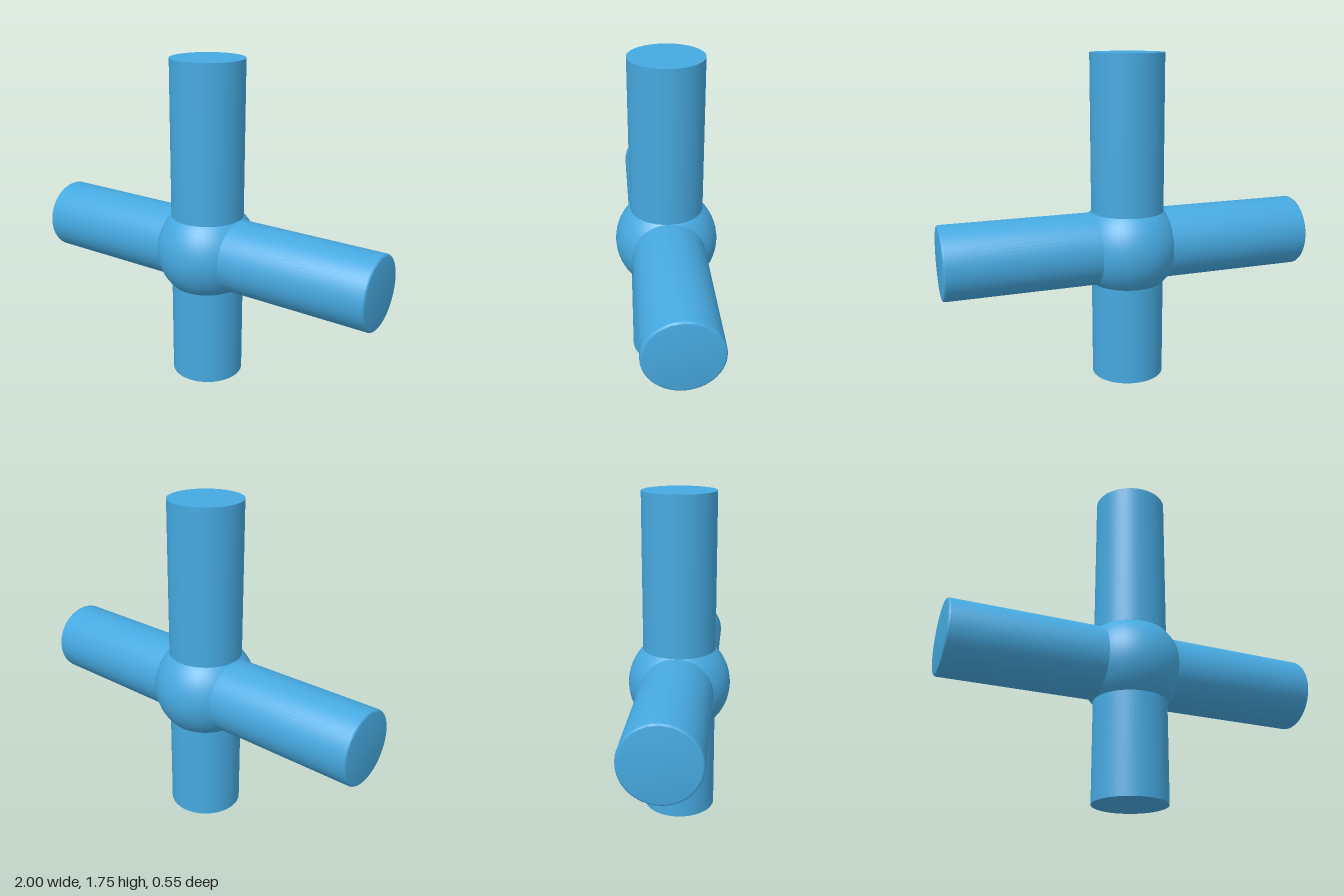
import * as THREE from 'three';
import { toCreasedNormals } from 'three/addons/utils/BufferGeometryUtils.js';

const HUB_Y = 0.725, R = 0.194, HEIGHT = 1.75, BEVEL = 0.012;

export function createModel() {
  const group = new THREE.Group();
  const blue = new THREE.MeshStandardMaterial({ color: 0x46a9e0 });

  const add = (name, geometry, y) => {
    const mesh = new THREE.Mesh(geometry, blue);
    mesh.name = name;
    mesh.position.y = y;
    group.add(mesh);
    return mesh;
  };

  // Ball joint, just wide enough to meet the edges where the arms cross
  add('hubSphere', new THREE.SphereGeometry(R * Math.SQRT2, 48, 32), HUB_Y);

  // Plain post arms above and below the hub, rooted inside the ball
  const postArm = (name, y0, y1) =>
    add(name, new THREE.CylinderGeometry(R, R, y1 - y0, 64), (y0 + y1) / 2);
  postArm('upperArm', HUB_Y + R, HEIGHT);
  postArm('lowerArm', 0, HUB_Y - R);

  // Side arms with a slightly softened outer rim
  const profile = [[0, R], [R, R]];
  for (let i = 0; i <= 4; i++) {
    const a = (i / 4) * Math.PI / 2;
    profile.push([R - BEVEL + BEVEL * Math.cos(a), 1 - BEVEL + BEVEL * Math.sin(a)]);
  }
  profile.push([0, 1]);
  const armGeometry = toCreasedNormals(
    new THREE.LatheGeometry(profile.map(([x, y]) => new THREE.Vector2(x, y)), 64),
    Math.PI / 6
  );
  for (const [name, side] of [['leftArm', 1], ['rightArm', -1]]) {
    add(name, armGeometry, HUB_Y).rotation.z = -side * Math.PI / 2;
  }

  return group;
}
